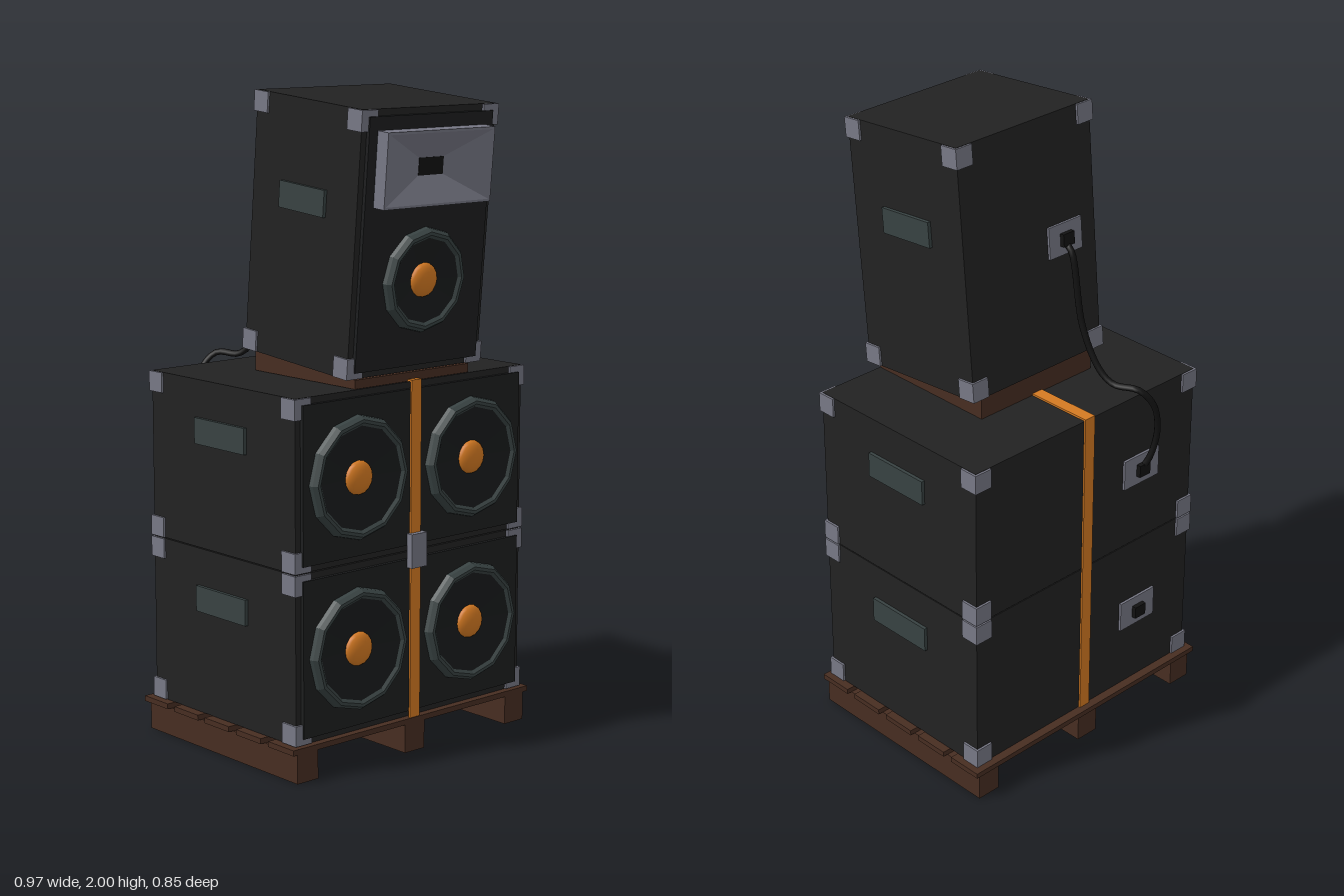
import * as THREE from 'three';

const mat = (name, color) => Object.assign(new THREE.MeshStandardMaterial({ color }), { name });
const M = {
  body: mat('cabinet black', 0x222222),
  baffle: mat('baffle black', 0x1d1e1f),
  cone: mat('cone black', 0x191b1c),
  trim: mat('dark green grey', 0x384242),
  metal: mat('grey metal', 0x777885),
  orange: mat('orange', 0xd57a22),
  wood: mat('brown wood', 0x472d21),
  rubber: mat('rubber black', 0x121212),
};

function add(parent, name, geo, material, x = 0, y = 0, z = 0) {
  const mesh = new THREE.Mesh(geo, material);
  mesh.name = name;
  mesh.position.set(x, y, z);
  parent.add(mesh);
  return mesh;
}
const box = (parent, name, material, w, h, d, x, y, z) =>
  add(parent, name, new THREE.BoxGeometry(w, h, d), material, x, y, z);

function group(parent, name, x = 0, y = 0, z = 0) {
  const g = new THREE.Group();
  g.name = name;
  g.position.set(x, y, z);
  parent.add(g);
  return g;
}

// Faceted lathe whose axis points along +z
function dish(points, sides) {
  const geo = new THREE.LatheGeometry(points.map(p => new THREE.Vector2(...p)), sides)
    .rotateX(Math.PI / 2).toNonIndexed();
  geo.computeVertexNormals();
  return geo;
}

function woofer(parent, r, x, y, z) {
  const g = group(parent, 'woofer', x, y, z);
  add(g, 'surround ring', dish([[r, 0], [r - 0.002, 0.014], [r - 0.012, 0.027], [r - 0.022, 0.027], [r - 0.032, 0.018]], 12), M.trim);
  add(g, 'cone', dish([[r - 0.031, 0.019], [0.05, 0.004], [0, 0.004]], 12), M.cone);
  const dome = new THREE.SphereGeometry(0.052, 16, 6, 0, Math.PI * 2, 0, Math.PI / 2).rotateX(Math.PI / 2).scale(1, 1, 0.45);
  add(g, 'dust cap', dome, M.orange, 0, 0, 0.004);
}

// Rectangular sections [width, height, z] joined by flat walls
function loft(sections) {
  const ring = ([w, h, z]) => [[1, -1], [1, 1], [-1, 1], [-1, -1]].map(([a, b]) => [a * w / 2, b * h / 2, z]);
  const pos = [];
  for (let i = 0; i < sections.length - 1; i++) {
    const p = ring(sections[i]), q = ring(sections[i + 1]);
    for (let j = 0; j < 4; j++) {
      const k = (j + 1) % 4;
      pos.push(...p[j], ...p[k], ...q[k], ...p[j], ...q[k], ...q[j]);
    }
  }
  const geo = new THREE.BufferGeometry();
  geo.setAttribute('position', new THREE.Float32BufferAttribute(pos, 3));
  geo.computeVertexNormals();
  return geo;
}

// Cabinet shell with baffle, corner guards, side handles and a rear socket
function cabinet(parent, name, w, h, d, handleW, plateX, plateW, y, z) {
  const g = group(parent, name, 0, y, z);
  box(g, 'shell', M.body, w, h, d, 0, 0, 0);
  box(g, 'baffle', M.baffle, w - 0.04, h - 0.04, 0.012, 0, 0, d / 2 + 0.006);
  const c = 0.062, out = 0.007;
  for (const sx of [-1, 1]) {
    for (const sy of [-1, 1]) for (const sz of [-1, 1])
      box(g, 'corner guard', M.metal, c, c, c,
        sx * (w / 2 + out - c / 2), sy * (h / 2 - 0.001 - c / 2), sz * (d / 2 + out - c / 2));
    box(g, 'side handle', M.trim, 0.012, 0.08, handleW, sx * (w / 2 + 0.005), 0.103, 0);
  }
  box(g, 'socket plate', M.metal, plateW, 0.1, 0.008, plateX, 0, -d / 2 - 0.004);
  box(g, 'socket', M.rubber, 0.045, 0.04, 0.022, plateX, 0, -d / 2 - 0.012);
  return g;
}

export function createModel() {
  const root = new THREE.Group();
  root.name = 'speaker stack';

  // Pallet
  const pallet = group(root, 'pallet');
  for (const x of [-0.43, 0, 0.43]) box(pallet, 'runner', M.wood, 0.08, 0.09, 0.71, x, 0.045, -0.037);
  for (let i = 0; i < 5; i++)
    box(pallet, 'deck slat', M.wood, 0.974, 0.017, 0.117, 0, 0.0985, -0.342 + i * 0.151);

  // Two bass cabinets
  const H = 0.519, D = 0.673, Z = -0.0365;
  for (const [i, name] of ['lower cabinet', 'upper cabinet'].entries()) {
    const g = cabinet(root, name, 0.92, H - 0.003, D, 0.235, -0.23, 0.15, 0.107 + H * (i + 0.5), Z);
    for (const x of [-0.23, 0.23]) woofer(g, 0.188, x, 0, D / 2 + 0.012);
  }

  // Ratchet strap
  const strap = group(root, 'strap');
  box(strap, 'strap front', M.orange, 0.04, 1.044, 0.006, 0, 0.629, 0.315);
  box(strap, 'strap back', M.orange, 0.04, 1.044, 0.006, 0, 0.629, -0.376);
  box(strap, 'strap top', M.orange, 0.04, 0.006, 0.697, 0, 1.148, -0.0305);
  box(strap, 'buckle', M.metal, 0.062, 0.105, 0.022, 0, 0.632, 0.324);

  // Wedge under the tilted cabinet
  const profile = new THREE.Shape([[-0.155, 1.145], [0.3, 1.145], [0.3, 1.172], [-0.155, 1.214]]
    .map(p => new THREE.Vector2(...p)));
  const wedge = new THREE.ExtrudeGeometry(profile, { depth: 0.46, bevelEnabled: false })
    .translate(0, 0, -0.23).rotateY(-Math.PI / 2);
  add(root, 'wedge', wedge, M.wood);

  // Tilted top cabinet
  const top = cabinet(root, 'top cabinet', 0.53, 0.786, 0.465, 0.2, -0.135, 0.135, 1.588, 0.1055);
  top.rotation.x = 0.0873;
  const face = 0.2325 + 0.012;
  woofer(top, 0.158, 0, -0.115, face);
  const horn = group(top, 'horn', 0, 0.222, face);
  add(horn, 'horn flare', loft([[0.425, 0.222, 0], [0.425, 0.222, 0.045], [0.41, 0.207, 0.045], [0.095, 0.05, 0.004]]), M.metal);
  box(horn, 'horn throat', M.rubber, 0.097, 0.052, 0.006, 0, 0, 0.003);

  // Signal cable
  const path = new THREE.CatmullRomCurve3([
    [-0.135, 1.6, -0.13], [-0.135, 1.57, -0.16], [-0.14, 1.34, -0.205], [-0.155, 1.21, -0.265],
    [-0.17, 1.172, -0.31], [-0.2, 1.17, -0.385], [-0.235, 1.12, -0.415], [-0.26, 1.02, -0.412],
    [-0.245, 0.93, -0.4], [-0.23, 0.89, -0.385],
  ].map(p => new THREE.Vector3(...p)));
  add(root, 'cable', new THREE.TubeGeometry(path, 48, 0.01, 8), M.rubber);

  return root;
}
